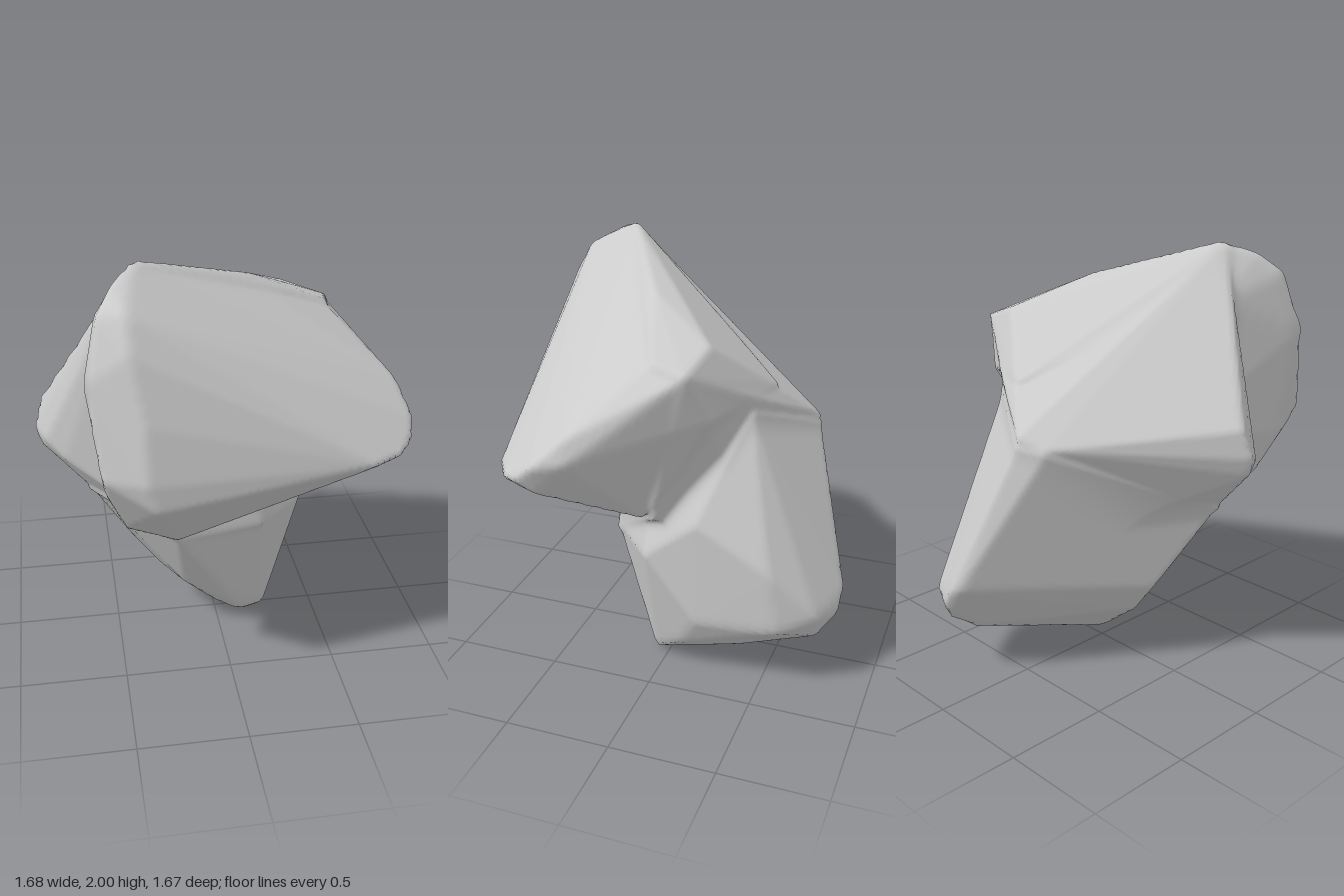
import * as THREE from 'three';
import { ConvexGeometry } from 'three/addons/geometries/ConvexGeometry.js';
import { mergeVertices } from 'three/addons/utils/BufferGeometryUtils.js';

// A point inside all three masses of the boulder
const CENTRE = new THREE.Vector3(-0.05, 1.1, 0.05);

// Overhanging head with the broad front face
const head = [
  [-0.4, 2, 0.39], [-0.5, 1.95, 0.5], [-0.58, 1.86, 0.6], [-0.45, 1.87, 0.65], [-0.63, 1.6, 0.68],
  [-0.45, 1.73, 0.73], [-0.4, 1.45, 0.8], [-0.58, 1.2, 0.76], [-0.4, 1.2, 0.84], [-0.36, 1.07, 0.83],
  [-0.56, 1.08, 0.68], [-0.08, 1.13, 0.74], [0.28, 1.14, 0.69], [0.62, 1.12, 0.65], [0.75, 1.12, 0.57],
  [0.82, 1.15, 0.48], [0.845, 1.22, 0.4], [0.8, 1.35, 0.26], [0.82, 1.25, 0.24], [0.78, 1.08, 0.4],
  [0.52, 1.63, -0.04], [0.56, 1.6, -0.2], [0.13, 1.82, 0.09], [0.35, 1.67, -0.24], [0.45, 1.38, -0.28],
  [0.53, 0.95, 0.25], [0.43, 0.85, 0.05], [-0.24, 0.7, 0.45], [-0.48, 0.87, 0.58], [-0.47, 1.75, 0.28],
  [0.04, 1.42, -0.45], [-0.35, 1.1, 0.1],
];
// Sloping back slab running out to the side lobe
const slab = [
  [-0.4, 2, 0.39], [-0.47, 1.8, 0.28], [-0.5, 1.62, 0.17], [-0.81, 1.28, 0.06], [-0.845, 1.15, 0.09],
  [-0.82, 1.07, 0.1], [-0.8, 1.12, 0.17], [-0.72, 1.04, 0.22], [-0.58, 0.95, 0.27], [-0.61, 0.85, 0.15],
  [-0.24, 0.7, 0.4], [0.18, 0.65, 0.27], [0.43, 0.85, 0], [0.13, 1.82, 0.09], [0.52, 1.63, -0.04],
  [0.56, 1.6, -0.2], [0.35, 1.67, -0.24], [0.23, 1.42, -0.42], [0.04, 1.4, -0.47], [-0.13, 1.24, -0.63],
  [-0.25, 1.2, -0.57], [0, 0.6, -0.4],
];
// Foot, leaning towards the back
const foot = [
  [0.18, 0, 0.03], [0.12, 0, 0.06], [0.24, 0.03, 0.06], [0.01, 0.04, 0.02], [0.18, 0.04, -0.13], [0.2, 0.1, -0.21],
  [0.33, 0.14, -0.08], [0.25, 0.14, -0.36], [0.2, 0.21, -0.64], [0.25, 0.28, -0.75], [0.18, 0.39, -0.83],
  [0.13, 0.48, -0.84], [0.08, 0.5, -0.82], [0.33, 0.42, -0.76], [0.41, 0.35, -0.58], [0.42, 0.33, -0.2],
  [0.42, 0.65, -0.55], [0.42, 0.65, 0.05], [0.43, 0.85, -0.2], [0.18, 0.65, 0.27], [0.1, 0.08, 0.13],
  [-0.28, 0.27, -0.05], [-0.4, 0.43, -0.05], [-0.45, 0.54, 0.02], [-0.61, 0.85, 0.15], [-0.24, 0.7, 0.43],
  [-0.18, 0.29, 0.18], [-0.13, 1.2, -0.63], [-0.25, 1.18, -0.57], [0.23, 1.35, -0.4], [0, 1.5, 0.1],
];

// Face planes of a convex mass, measured from the centre
function facePlanes(points) {
  const hull = new ConvexGeometry(points.map((p) => new THREE.Vector3(...p).sub(CENTRE)));
  const position = hull.attributes.position;
  const planes = [];
  for (let i = 0; i < position.count; i += 3) {
    const [a, b, c] = [0, 1, 2].map((k) => new THREE.Vector3().fromBufferAttribute(position, i + k));
    planes.push(new THREE.Plane().setFromCoplanarPoints(a, b, c));
  }
  return planes;
}

// Distance from the centre to the surface of a mass along a direction
function reach(planes, direction) {
  let r = Infinity;
  for (const plane of planes) {
    const d = plane.normal.dot(direction);
    if (d > 1e-6) r = Math.min(r, -plane.constant / d);
  }
  return r;
}

// Larger of two distances, with a soft fillet where they meet
function softMax(a, b, width = 0.06) {
  const h = Math.max(width - Math.abs(a - b), 0) / width;
  return Math.max(a, b) + h * h * width * 0.25;
}

export function createModel() {
  const masses = [head, slab, foot].map(facePlanes);

  // Push a fine sphere out to the blended masses
  let geometry = new THREE.IcosahedronGeometry(1, 44);
  geometry.deleteAttribute('uv');
  geometry.deleteAttribute('normal');
  geometry = mergeVertices(geometry, 1e-5);
  const position = geometry.attributes.position;
  const v = new THREE.Vector3();
  for (let i = 0; i < position.count; i++) {
    v.fromBufferAttribute(position, i).normalize();
    const r = masses.map((planes) => reach(planes, v)).reduce((a, b) => softMax(a, b));
    v.multiplyScalar(r).add(CENTRE);
    position.setXYZ(i, v.x, v.y, v.z);
  }
  geometry.computeVertexNormals();

  // Stand it on the ground, centred
  geometry.computeBoundingBox();
  const box = geometry.boundingBox;
  const middle = box.getCenter(new THREE.Vector3());
  geometry.translate(-middle.x, -box.min.y, -middle.z);

  const boulder = new THREE.Mesh(geometry, new THREE.MeshStandardMaterial({ color: 0xcccccc }));
  boulder.name = 'boulder';
  const group = new THREE.Group();
  group.name = 'rock';
  group.add(boulder);
  return group;
}
